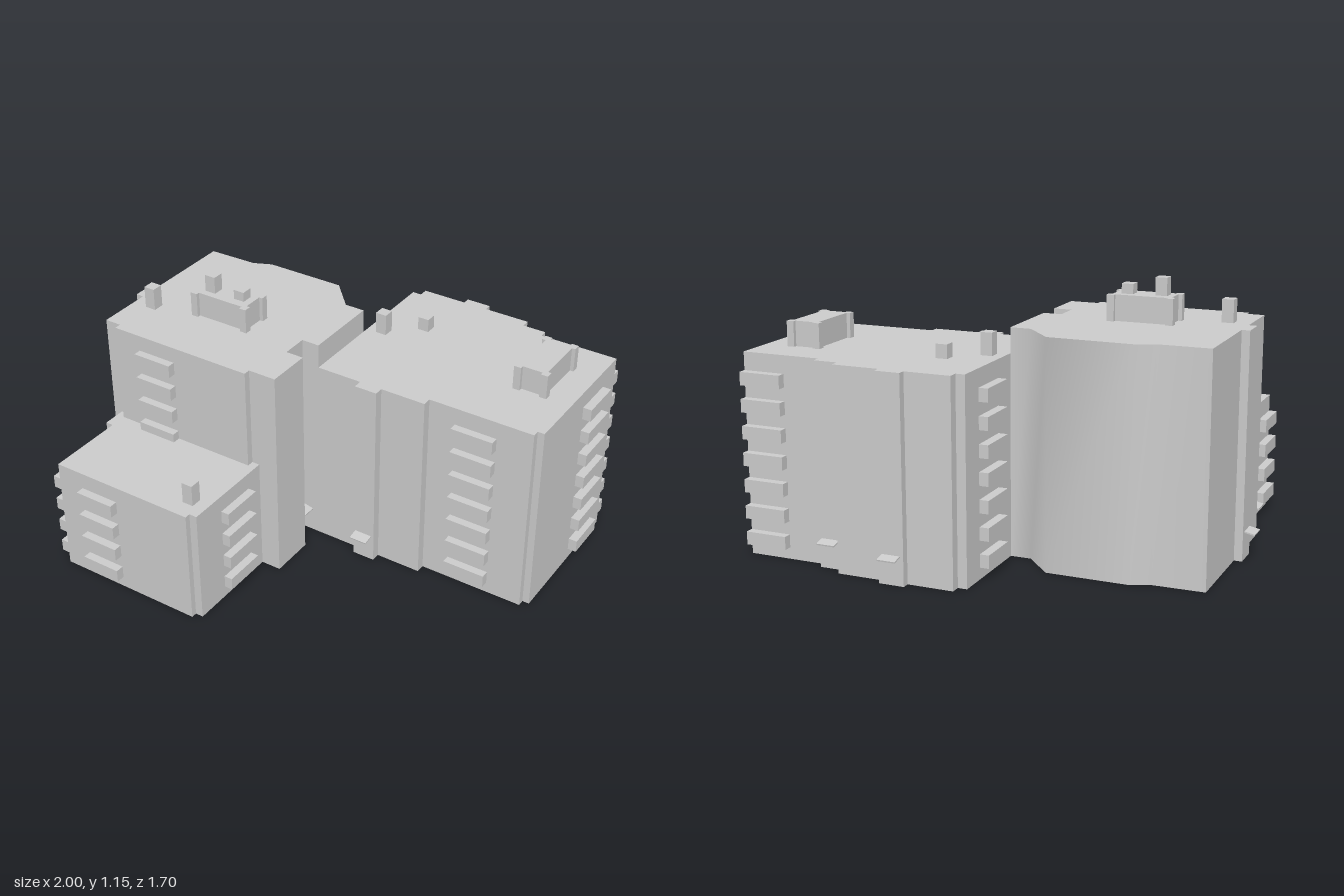
import * as THREE from 'three';
import { toCreasedNormals } from 'three/addons/utils/BufferGeometryUtils.js';

const TOWER = 0.97, WING = 0.863, ANNEX = 0.52;
const material = new THREE.MeshStandardMaterial({ color: 0xcccccc, side: THREE.DoubleSide });

export function createModel() {
  const model = new THREE.Group();

  const add = (name, geometry, parent = model) => {
    const mesh = new THREE.Mesh(geometry, material);
    mesh.name = name;
    parent.add(mesh);
    return mesh;
  };

  const group = (name) => {
    const g = new THREE.Group();
    g.name = name;
    model.add(g);
    return g;
  };

  // Box given by its limits on each axis
  const box = (name, [x0, x1], [y0, y1], [z0, z1], parent) => {
    const g = new THREE.BoxGeometry(x1 - x0, y1 - y0, z1 - z0);
    g.translate((x0 + x1) / 2, (y0 + y1) / 2, (z0 + z1) / 2);
    return add(name, g, parent);
  };

  // Upright wall along a plan path of [x, z] points, outside on the right
  const wall = (name, path, y0, y1) => {
    const p = [];
    for (let i = 0; i < path.length - 1; i++) {
      const [ax, az] = path[i], [bx, bz] = path[i + 1];
      p.push(ax, y0, az, bx, y0, bz, bx, y1, bz, ax, y0, az, bx, y1, bz, ax, y1, az);
    }
    const g = new THREE.BufferGeometry();
    g.setAttribute('position', new THREE.Float32BufferAttribute(p, 3));
    add(name, toCreasedNormals(g, 0.9));
  };

  const roof = (name, outline, y) => {
    const g = new THREE.ShapeGeometry(new THREE.Shape(outline.map(([x, z]) => new THREE.Vector2(x, -z))));
    g.rotateX(-Math.PI / 2).translate(0, y, 0);
    add(name, g);
  };

  // Low annex, open towards the tower
  const annex = [[-0.88, 0.355], [-0.88, 0.46], [-0.845, 0.46], [-0.845, 0.81], [-0.175, 0.81],
    [-0.175, 0.785], [-0.14, 0.785], [-0.14, 0.355]];
  wall('annexWalls', annex, 0, ANNEX);
  roof('annexRoof', annex, ANNEX);

  // Tall tower: its walls stop on the lower roofs where the blocks meet
  const towerFront = [[-0.88, 0.355], [-0.845, 0.355], [-0.845, 0.385], [-0.175, 0.385],
    [-0.175, 0.355], [-0.14, 0.355]];
  const towerRight = [[-0.14, 0.355], [-0.05, 0.355], [-0.05, 0.155], [-0.13, 0.155], [-0.13, 0.04]];
  const towerJoin = [[-0.13, 0.04], [-0.05, 0.04], [-0.05, -0.31]];
  const towerBack = [[-0.05, -0.31], [-0.14, -0.31], [-0.26, -0.44], [-0.62, -0.44], [-0.7, -0.405],
    [-0.92, -0.4], [-0.92, 0], [-0.955, 0], [-0.955, 0.11], [-0.92, 0.11], [-0.92, 0.355], [-0.88, 0.355]];
  wall('towerFrontWall', towerFront, ANNEX, TOWER);
  wall('towerRightWall', towerRight, 0, TOWER);
  wall('towerJoinWall', towerJoin, WING, TOWER);
  wall('towerBackWall', towerBack, 0, TOWER);
  roof('towerRoof', [towerFront, towerRight, towerJoin, towerBack].flatMap((p) => p.slice(0, -1)), TOWER);

  // Right wing
  const wing = [[-0.13, 0.04], [0.155, 0.04], [0.155, 0.08], [0.257, 0.08], [0.257, 0.04], [0.46, 0.04],
    [0.46, 0], [0.93, 0], [0.93, -0.03], [0.96, -0.03], [0.96, -0.703], [0.61, -0.703], [0.61, -0.738],
    [0.505, -0.738], [0.505, -0.777], [0.3, -0.777], [0.3, -0.81], [0.19, -0.81], [0.19, -0.777],
    [-0.01, -0.777], [-0.01, -0.735], [-0.05, -0.735], [-0.05, -0.31]];
  wall('wingWalls', wing, 0, WING);
  roof('wingRoof', [[-0.05, 0.04], ...wing.slice(1)], WING);

  // Stacks of balconies, one per storey
  const balconies = (name, x, z, first, last) => {
    const g = group(name);
    for (let i = first; i <= last; i++) {
      const y = 0.05 + i * 0.1133;
      box('balcony', x, [y, y + 0.056], z, g);
    }
  };
  balconies('wingFrontBalconies', [0.58, 0.77], [0, 0.036], 0, 6);
  balconies('wingRightBalconies', [0.96, 0.998], [-0.585, -0.395], 0, 6);
  balconies('wingBackBalconies', [0.775, 0.96], [-0.74, -0.703], 0, 6);
  balconies('wingLeftBalconies', [-0.09, -0.05], [-0.615, -0.43], 0, 6);
  balconies('towerFrontBalconies', [-0.72, -0.54], [0.385, 0.42], 4, 7);
  balconies('annexFrontBalconies', [-0.72, -0.54], [0.81, 0.847], 0, 3);
  balconies('annexRightBalconies', [-0.14, -0.103], [0.435, 0.625], 0, 3);
  balconies('annexLeftBalconies', [-0.88, -0.845], [0.625, 0.81], 0, 3);

  // Roof houses with a post on each corner
  const roofHouse = (name, [x0, x1], y, [z0, z1]) => {
    const g = group(name), inset = 0.016, post = 0.032;
    box('body', [x0 + inset, x1 - inset], y, [z0 + inset, z1 - inset], g);
    for (const x of [x0, x1 - post])
      for (const z of [z0, z1 - post]) box('cornerPost', [x, x + post], y, [z, z + post], g);
  };
  roofHouse('towerRoofHouse', [-0.642, -0.357], [TOWER, 1.08], [-0.03, 0.123]);
  roofHouse('wingRoofHouse', [0.7, 0.852], [WING, 0.97], [-0.543, -0.258]);

  // Chimneys: centre x, centre z, bottom, top
  for (const [x, z, y0, y1] of [
    [-0.572, 0.052, 1.08, 1.155], [-0.43, 0.043, 1.08, 1.122], [-0.826, 0.15, TOWER, 1.067],
    [-0.222, 0.71, ANNEX, 0.615], [0.02, -0.365, WING, 0.958], [0.16, -0.487, WING, 0.922],
  ]) box('chimney', [x - 0.025, x + 0.025], [y0, y1], [z - 0.025, z + 0.025]);

  // Thin entrance canopies, sloping down outwards: wall point, width, turn
  for (const [x, z, width, turn] of [
    [0.204, 0.08, 0.08, 0], [0.245, -0.81, 0.08, Math.PI], [0.56, -0.738, 0.08, Math.PI],
    [-0.13, 0.097, 0.115, Math.PI / 2], [-0.955, 0.06, 0.08, -Math.PI / 2], [-0.88, 0.41, 0.08, -Math.PI / 2],
  ]) {
    const g = new THREE.BoxGeometry(width, 0.006, 0.046);
    g.translate(0, 0, 0.023).rotateX(0.2).rotateY(turn).translate(x, 0.122, z);
    add('entranceCanopy', g);
  }

  return model;
}
